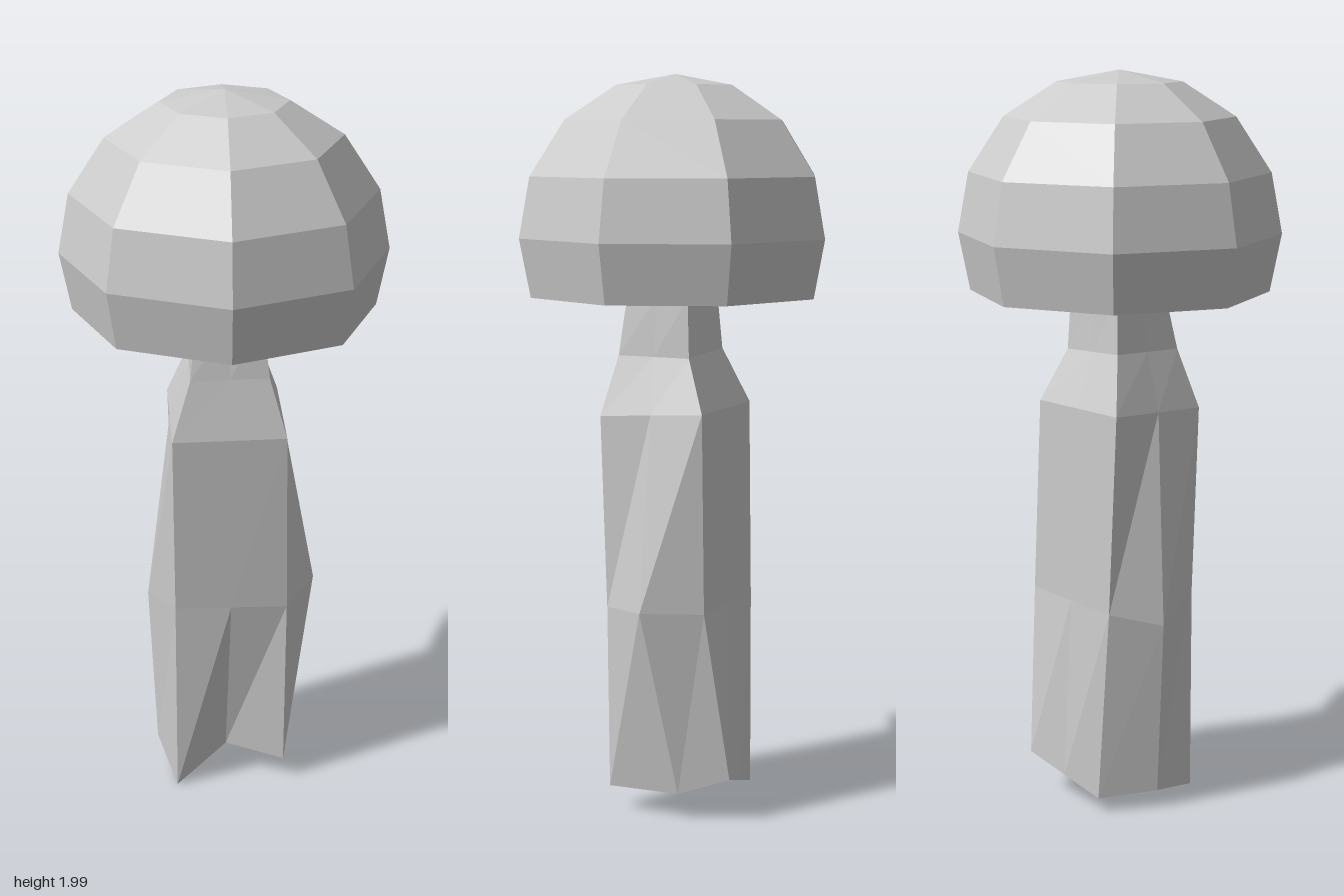
import * as THREE from 'three';

const material = () => new THREE.MeshStandardMaterial({ color: 0xcccccc, flatShading: true });

// Ring of 8 points (front, then round by +x) from 4 corners; optional overrides replace edge midpoints
function ring(corners, mids = []) {
  return corners.flatMap((c, i) => {
    const n = corners[(i + 1) % 4];
    return [c, mids[i] ?? c.map((v, k) => (v + n[k]) / 2)];
  });
}

// Skin a stack of rings, closing both ends with a fan
function skin(rings, bottomCentre, topCentre) {
  const out = [];
  const tri = (...pts) => pts.forEach((p) => out.push(...p));
  const n = rings[0].length;
  for (let i = 0; i < n; i++) {
    const j = (i + 1) % n;
    for (let r = 0; r < rings.length - 1; r++) {
      const lo = rings[r], hi = rings[r + 1];
      tri(lo[i], lo[j], hi[j]);
      tri(lo[i], hi[j], hi[i]);
    }
    const first = rings[0], last = rings[rings.length - 1];
    tri(bottomCentre, first[j], first[i]);
    tri(topCentre, last[i], last[j]);
  }
  const g = new THREE.BufferGeometry();
  g.setAttribute('position', new THREE.Float32BufferAttribute(out, 3));
  g.computeVertexNormals();
  return g;
}

export function createModel() {
  const model = new THREE.Group();
  model.name = 'mushroom';

  // Hollow eight-sided cap: inner shell downwards, rim, outer shell upwards
  const profile = [
    [0, 1.93], [0.14, 1.91], [0.26, 1.83], [0.34, 1.71], [0.37, 1.56], [0.35, 1.42],
    [0.40, 1.42], [0.43, 1.575], [0.40, 1.735], [0.305, 1.88], [0.165, 1.97], [0, 2],
  ].map(([r, y]) => new THREE.Vector2(r, y));
  const cap = new THREE.Mesh(new THREE.LatheGeometry(profile, 8), material());
  cap.name = 'cap';
  model.add(cap);

  // Crooked stem with a ragged, notched foot; corners run front, +x, back, -x
  const rings = [
    ring([[0, 0.01, 0.2], [0.2, 0.075, -0.03], [-0.07, 0.13, -0.245], [-0.205, 0.05, -0.05]],
      [[0.05, 0.1, 0.05], [0.056, 0.085, -0.185], null, [-0.165, 0.06, 0.11]]),
    ring([[0, 0.59, 0.2], [0.205, 0.58, -0.03], [0, 0.59, -0.235], [-0.215, 0.58, -0.02]],
      [null, [0.165, 0.595, -0.19], null, [-0.18, 0.54, 0.125]]),
    ring([[0.01, 1.1, 0.215], [0.215, 1.1, -0.01], [0, 1.12, -0.215], [-0.215, 1.12, 0]]),
    ring([[0.02, 1.26, 0.155], [0.16, 1.26, 0], [0.01, 1.26, -0.14], [-0.135, 1.27, 0]]),
    ring([[0.01, 1.42, 0.12], [0.135, 1.42, 0], [0.01, 1.42, -0.13], [-0.12, 1.42, 0]]),
    ring([[0, 1.9, 0.11], [0.11, 1.9, 0], [0, 1.9, -0.11], [-0.11, 1.9, 0]]),
  ];
  const stem = new THREE.Mesh(skin(rings, [-0.04, 0.075, -0.04], [0, 1.9, 0]), material());
  stem.name = 'stem';
  model.add(stem);

  return model;
}
